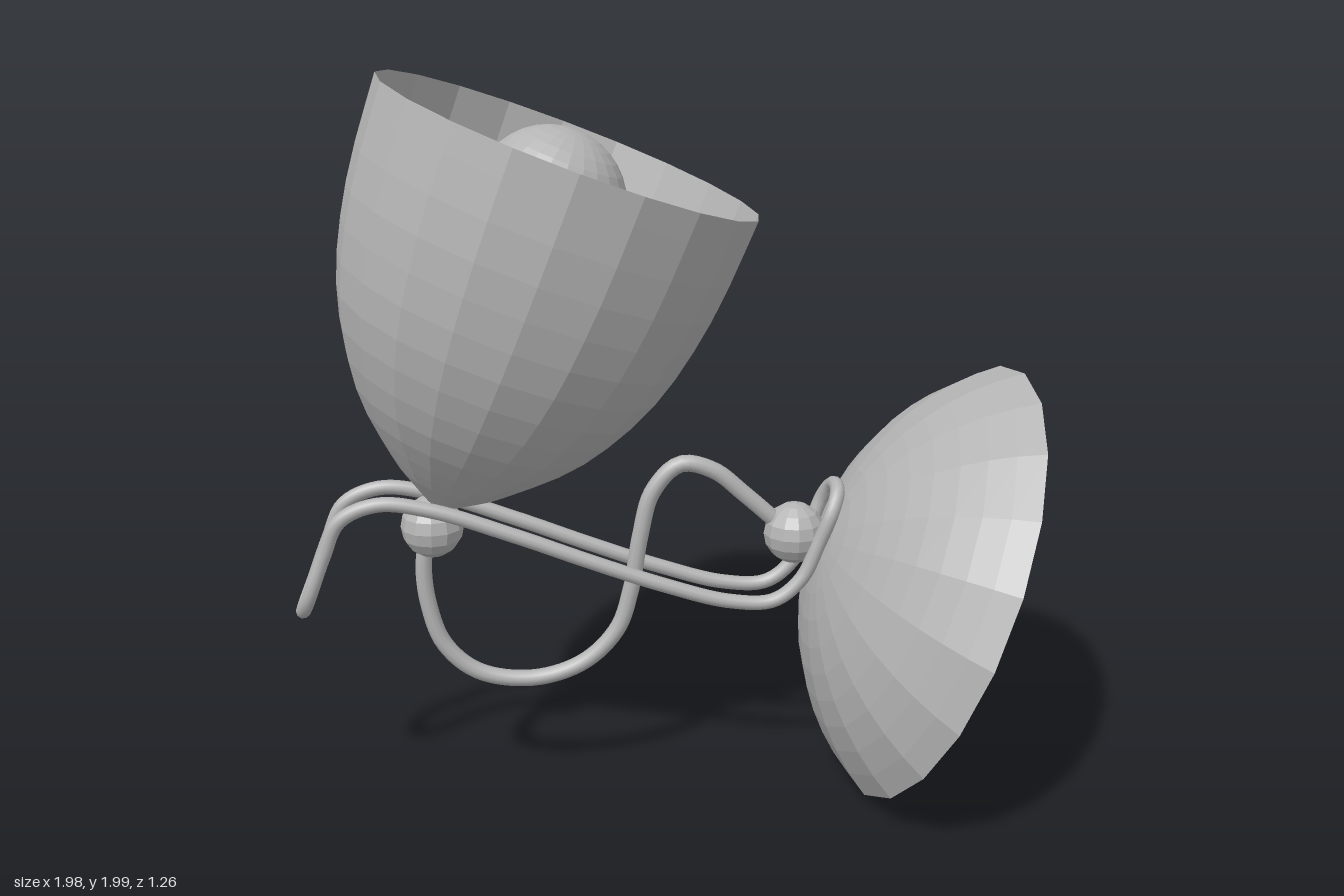
import * as THREE from 'three';

const V2 = (x, y) => new THREE.Vector2(x, y);
const V3 = (x, y, z = 0) => new THREE.Vector3(x, y, z);
const TILT = 0.366; // lean shared by the shade and the wall plate

const metal = new THREE.MeshStandardMaterial({ color: 0xb4b4b4, side: THREE.DoubleSide });
metal.name = 'grey metal';

// Split every face apart so that it gets its own flat normal
function facet(geometry) {
  const g = geometry.toNonIndexed();
  g.computeVertexNormals();
  return g;
}

function part(name, geometry, parent, x = 0, y = 0, z = 0) {
  const mesh = new THREE.Mesh(geometry, metal);
  mesh.name = name;
  mesh.position.set(x, y, z);
  parent.add(mesh);
  return mesh;
}

export function createModel() {
  const lamp = new THREE.Group();
  lamp.name = 'wallLamp';

  // Leaning head: open bell shade, socket and bulb on one axis
  const head = new THREE.Group();
  head.name = 'lampHead';
  head.position.set(-0.601, 0.853, 0.006);
  head.rotation.z = -TILT;
  lamp.add(head);
  const bell = new THREE.SplineCurve([
    V2(0.015, 0), V2(0.09, 0.05), V2(0.175, 0.115), V2(0.325, 0.27),
    V2(0.442, 0.49), V2(0.5, 0.75), V2(0.517, 1.03),
  ]);
  part('shade', facet(new THREE.LatheGeometry(bell.getPoints(18), 20)), head);
  part('socket', facet(new THREE.CylinderGeometry(0.14, 0.14, 0.56, 12)), head, 0, 0.5, -0.006);
  part('bulb', facet(new THREE.SphereGeometry(0.2, 24, 18)), head, 0, 0.87, -0.006);

  // Wall plate: a spherical cap closed by a flat disc
  const R = 0.752, rim = 0.629, drop = 0.412;
  const rimAngle = Math.asin(rim / R);
  const cap = [V2(0, 0)];
  for (let i = 0; i <= 10; i++) {
    const a = rimAngle * (1 - i / 10);
    cap.push(V2(R * Math.sin(a), i === 0 ? 0 : R * Math.cos(a) - drop));
  }
  const plate = part('wallPlate', facet(new THREE.LatheGeometry(cap, 20)), lamp, 0.76, 0.598);
  plate.rotation.z = Math.PI / 2 - TILT;

  // Ball joints at both ends of the curved arm
  const joint = facet(new THREE.SphereGeometry(0.085, 12, 8));
  part('shadeJoint', joint, lamp, -0.62, 0.8);
  part('plateJoint', joint, lamp, 0.365, 0.75);

  // S-shaped arm
  const arm = new THREE.CatmullRomCurve3([
    [-0.635, 0.78], [-0.648, 0.68], [-0.638, 0.57], [-0.6, 0.455], [-0.51, 0.37],
    [-0.36, 0.343], [-0.22, 0.385], [-0.125, 0.48], [-0.085, 0.6], [-0.06, 0.75],
    [-0.025, 0.88], [0.05, 0.955], [0.14, 0.935], [0.225, 0.865], [0.34, 0.76],
  ].map(([x, y]) => V3(x, y)));
  part('curvedArm', new THREE.TubeGeometry(arm, 90, 0.023, 10), lamp);

  // Closed wire loop: one side rail, mirrored, with rounded ends
  const rail = [
    [-0.953, 0.625], [-0.905, 0.75], [-0.86, 0.845], [-0.76, 0.888], [-0.62, 0.868],
    [-0.4, 0.79], [-0.2, 0.71], [0, 0.635], [0.18, 0.582], [0.3, 0.58],
    [0.375, 0.64], [0.42, 0.74], [0.455, 0.83],
  ];
  const start = [-0.972, 0.58], end = [0.475, 0.877];
  const half = 0.072, inner = 0.035;
  const loop = [
    V3(...start, inner), ...rail.map(([x, y]) => V3(x, y, half)), V3(...end, inner),
    V3(...end, -inner), ...rail.map(([x, y]) => V3(x, y, -half)).reverse(), V3(...start, -inner),
  ];
  const wire = new THREE.CatmullRomCurve3(loop, true);
  part('wireLoop', new THREE.TubeGeometry(wire, 220, 0.02, 10, true), lamp);

  return lamp;
}
